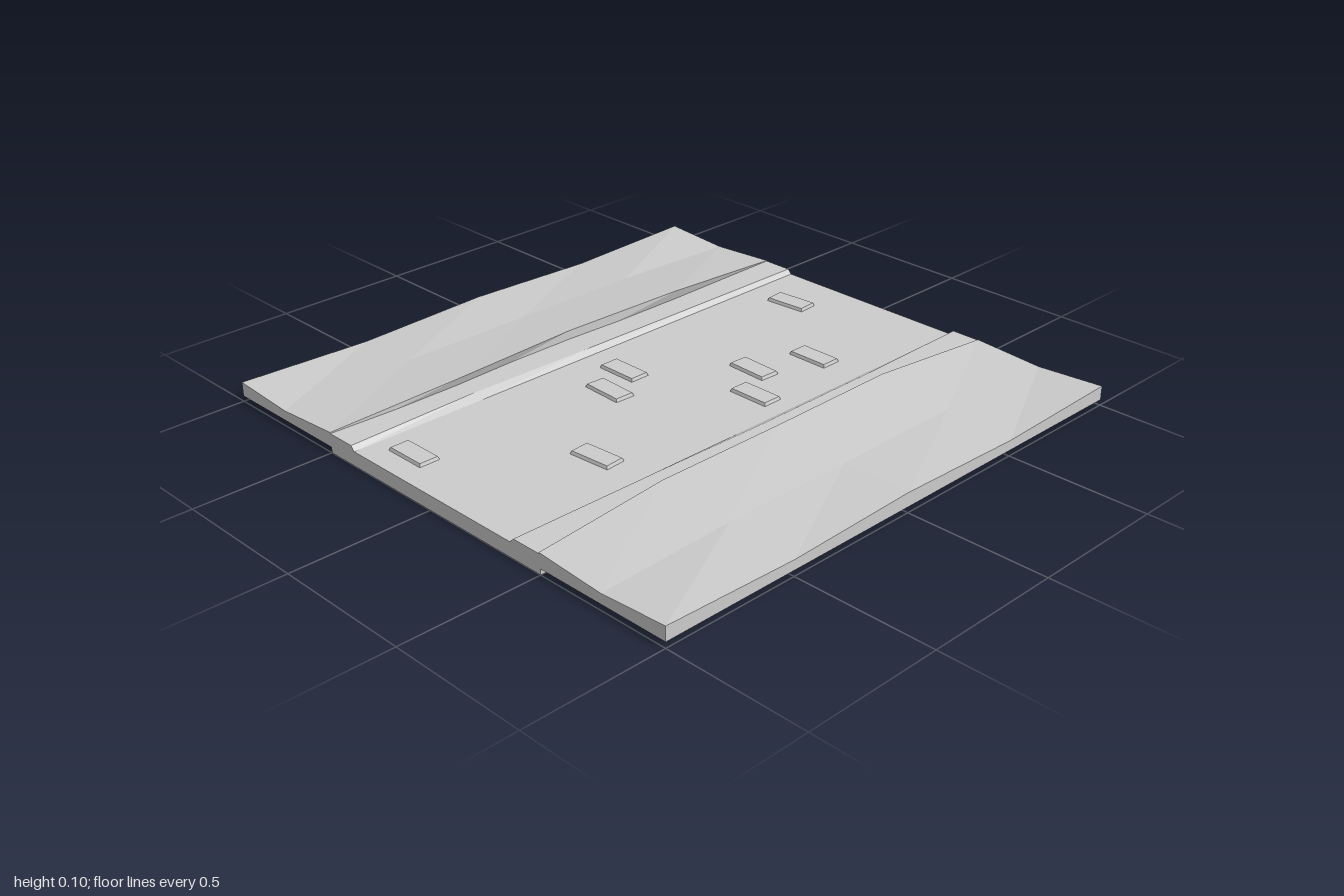
import * as THREE from 'three';

const material = new THREE.MeshStandardMaterial({ color: 0xcccccc, flatShading: true, side: THREE.DoubleSide });

// Surface through rows of [x, y, z] points; columns run towards +x, rows towards +z
function sheet(name, rows) {
  const pos = [];
  for (let i = 0; i < rows.length - 1; i++) {
    for (let j = 0; j < rows[i].length - 1; j++) {
      const a = rows[i][j], b = rows[i + 1][j], c = rows[i + 1][j + 1], d = rows[i][j + 1];
      pos.push(...a, ...b, ...c, ...a, ...c, ...d);
    }
  }
  const geometry = new THREE.BufferGeometry();
  geometry.setAttribute('position', new THREE.Float32BufferAttribute(pos, 3));
  geometry.computeVertexNormals();
  const mesh = new THREE.Mesh(geometry, material);
  mesh.name = name;
  return mesh;
}

// Open shell: swept top surface plus a skirt at each end
function shell(name, rows, base) {
  const group = new THREE.Group();
  group.name = name;
  const drop = (row) => row.map(([x, , z]) => [x, base, z]);
  const back = rows[0], front = rows[rows.length - 1];
  group.add(
    sheet(name + 'Surface', rows),
    sheet(name + 'BackSkirt', [drop(back), back]),
    sheet(name + 'FrontSkirt', [front, drop(front)])
  );
  return group;
}

const Z = [-1, -0.5, 0, 0.5, 1];

// Uneven verge rising to a bank beside the kerb
function verge(side) {
  const edgeY = [0.07, 0.055, 0.07, 0.055, 0.07];
  const midY = [0.055, 0.07, 0.07, 0.07, 0.055];
  const bankY = [0.07, 0.104, 0.1, 0.096, 0.072];
  const bankX = side > 0 ? [0.495, 0.48, 0.48, 0.473, 0.495] : [0.5, 0.48, 0.5, 0.48, 0.5];
  const rows = Z.map((z, i) => {
    const row = [
      [side * 0.5, 0.04, z],
      [side * bankX[i], bankY[i], z],
      [side * 0.75, midY[i], z],
      [side, edgeY[i], z],
      [side, 0.02, z],
    ];
    return side > 0 ? row : row.reverse();
  });
  return shell(side > 0 ? 'leftVerge' : 'rightVerge', rows, 0.02);
}

// Road bed with a raised, slightly wandering kerb on both sides
function road() {
  const kerbL = [-0.39, -0.393, -0.398, -0.407, -0.39];
  const kerbR = [0.388, 0.398, 0.4, 0.39, 0.385];
  const rows = Z.map((z, i) => [
    [-0.5, 0, z], [-0.5, 0.068, z],
    [kerbL[i], 0.068, z], [-0.375, 0.052, z],
    [0.37, 0.052, z], [kerbR[i], 0.068, z],
    [0.5, 0.068, z], [0.5, 0, z],
  ]);
  return shell('road', rows, 0);
}

// Paving stone with bevelled sides
function stone(x, z, turn) {
  const geometry = new THREE.BoxGeometry(0.158, 0.014, 0.078);
  const p = geometry.attributes.position;
  for (let i = 0; i < p.count; i++) {
    if (p.getY(i) > 0) {
      p.setX(i, p.getX(i) - Math.sign(p.getX(i)) * 0.005);
      p.setZ(i, p.getZ(i) - Math.sign(p.getZ(i)) * 0.005);
    }
  }
  geometry.computeVertexNormals();
  const mesh = new THREE.Mesh(geometry, material);
  mesh.name = 'pavingStone';
  mesh.position.set(x, 0.056, z);
  mesh.rotation.y = turn;
  return mesh;
}

export function createModel() {
  const model = new THREE.Group();
  model.name = 'roadTile';
  model.add(road(), verge(1), verge(-1));

  const stones = new THREE.Group();
  stones.name = 'pavingStones';
  [
    [-0.195, -0.8, 0.08], [0.17, -0.515, 0], [0.09, -0.3, -0.04], [0.225, -0.165, 0],
    [-0.205, 0.02, 0], [-0.13, 0.155, -0.04], [0.175, 0.49, 0.08], [-0.23, 0.88, 0],
  ].forEach((s) => stones.add(stone(...s)));
  model.add(stones);
  return model;
}
